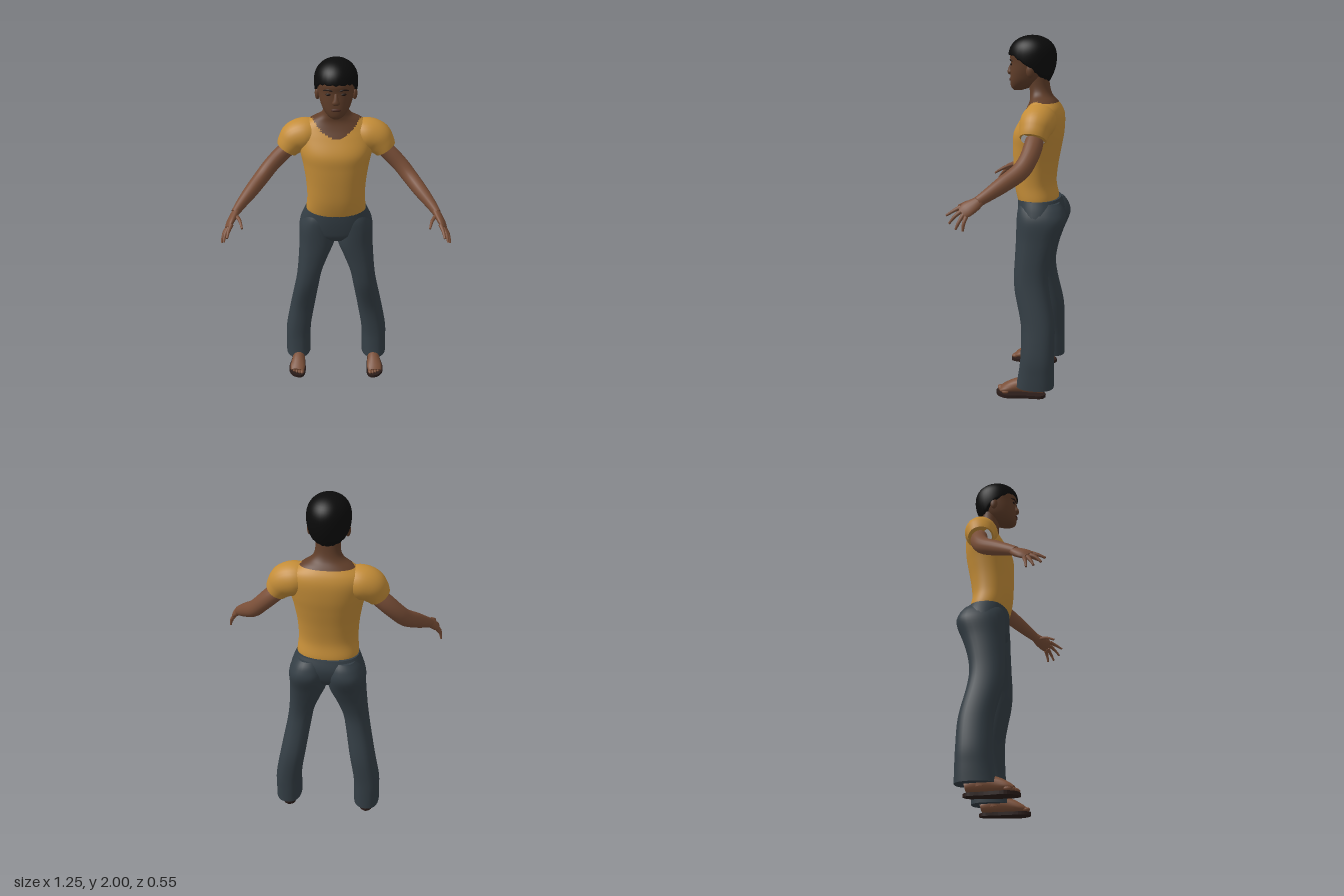
import * as THREE from 'three';
import { mergeGeometries } from 'three/addons/utils/BufferGeometryUtils.js';

const mat = (name, color) => new THREE.MeshStandardMaterial({ name, color });
const { lerp, smoothstep } = THREE.MathUtils;

// Catmull-Rom interpolation of rows of numbers
function sample(keys, steps) {
  const out = [], last = keys.length - 1;
  for (let i = 0; i <= last * steps; i++) {
    const k = Math.min(Math.floor(i / steps), last - 1), t = i / steps - k;
    const [a, b, c, d] = [k - 1, k, k + 1, k + 2].map(n => keys[Math.max(0, Math.min(last, n))]);
    out.push(b.map((_, n) => 0.5 * (2 * b[n] + (c[n] - a[n]) * t + (2 * a[n] - 5 * b[n] + 4 * c[n] - d[n]) * t * t
      + (3 * b[n] - a[n] - 3 * c[n] + d[n]) * t * t * t)));
  }
  return out;
}

// Skin a list of rings (counter-clockwise about the direction of travel) and cap both ends
function loft(rings) {
  const n = rings[0].length, pos = [], index = [], last = rings.length - 1;
  rings.forEach(r => r.forEach(p => pos.push(p.x, p.y, p.z)));
  for (let i = 0; i < last; i++) for (let j = 0; j < n; j++) {
    const k = (j + 1) % n, a = i * n + j, b = i * n + k;
    index.push(a, b, b + n, a, b + n, a + n);
  }
  [0, last].forEach(i => {
    const c = new THREE.Vector3();
    rings[i].forEach(p => c.addScaledVector(p, 1 / n));
    const base = pos.length / 3;
    rings[i].forEach(p => pos.push(p.x, p.y, p.z));
    pos.push(c.x, c.y, c.z);
    for (let j = 0; j < n; j++) {
      const a = base + j, b = base + (j + 1) % n;
      index.push(...(i ? [a, b, base + n] : [b, a, base + n]));
    }
  });
  const g = new THREE.BufferGeometry();
  g.setAttribute('position', new THREE.Float32BufferAttribute(pos, 3));
  g.setIndex(index);
  g.computeVertexNormals();
  return g;
}

const pw = (v, p) => Math.sign(v) * Math.abs(v) ** p;

// Level sections going up: [y, centre x, half width, front z, back z]
function body(keys, { n = 32, steps = 5, power = 0.88 } = {}) {
  return loft(sample(keys, steps).map(([y, cx, hw, zf, zb]) => Array.from({ length: n }, (_, j) => {
    const a = j / n * Math.PI * 2;
    return new THREE.Vector3(cx + hw * pw(Math.cos(a), power), y, (zf + zb) / 2 - (zf - zb) / 2 * pw(Math.sin(a), power));
  })));
}

// Sections across a path: [x, y, z, radius along side, radius across side]
function limb(keys, side, { n = 16, steps = 5 } = {}) {
  const rows = sample(keys, steps), at = i => new THREE.Vector3(...rows[Math.max(0, Math.min(rows.length - 1, i))].slice(0, 3));
  return loft(rows.map((r, i) => {
    const T = at(i + 1).sub(at(i - 1)).normalize(), W = new THREE.Vector3(...side);
    W.addScaledVector(T, -W.dot(T)).normalize();
    const N = T.clone().cross(W);
    return Array.from({ length: n }, (_, j) => {
      const a = j / n * Math.PI * 2;
      return at(i).addScaledVector(W, r[3] * Math.cos(a)).addScaledVector(N, r[4] * Math.sin(a));
    });
  }));
}

function ball(x, y, z, rx, ry, rz) {
  return new THREE.SphereGeometry(1, 16, 12).scale(rx, ry, rz).translate(x, y, z);
}

// Copy to the other side of x = 0, keeping faces outward
function mirrored(geo) {
  const g = geo.clone().scale(-1, 1, 1);
  if (!g.index) g.setIndex([...Array(g.attributes.position.count).keys()]);
  const ix = g.index.array;
  for (let i = 0; i < ix.length; i += 3) [ix[i], ix[i + 1]] = [ix[i + 1], ix[i]];
  g.computeVertexNormals();
  return g;
}

export function createModel() {
  const model = new THREE.Group();
  const faceSkin = mat('face skin', 0x5f3d29), skin = mat('limb skin', 0x7a4f38), shirt = mat('shirt ochre', 0xc48d38);
  const denim = mat('trouser slate', 0x343e45), hairMat = mat('hair black', 0x0b0b0b), sole = mat('sole brown', 0x2a1c19);
  const white = mat('sleeve lining white', 0xffffff), eyeMat = mat('eye dark', 0x20140f), lipMat = mat('lip brown', 0x4a2a20);
  const add = (name, geo, m) => {
    const mesh = new THREE.Mesh(geo, m);
    mesh.name = name;
    model.add(mesh);
  };
  const pair = (name, geo, m) => {
    add(name + 'Left', geo, m);
    add(name + 'Right', mirrored(geo), m);
  };

  // Torso and neck, split into shirt and skin along the neckline
  const torso = body([[1.07, 0, 0.165, -0.005, -0.215], [1.12, 0, 0.17, 0.012, -0.218], [1.2, 0, 0.163, 0.028, -0.203],
    [1.3, 0, 0.168, 0.034, -0.212], [1.4, 0, 0.183, 0.035, -0.23], [1.48, 0, 0.2, 0.03, -0.243], [1.56, 0, 0.208, -0.012, -0.245],
    [1.61, 0, 0.19, -0.04, -0.232], [1.65, 0, 0.135, -0.056, -0.205], [1.68, 0, 0.085, -0.056, -0.18],
    [1.72, 0, 0.066, -0.052, -0.165], [1.79, 0, 0.066, -0.045, -0.155]], { n: 72, steps: 6, power: 0.9 });
  const p = torso.attributes.position, cloth = [], bare = [], ix = torso.index.array;
  for (let i = 0; i < ix.length; i += 3) {
    const tri = [ix[i], ix[i + 1], ix[i + 2]];
    const [x, y, z] = ['getX', 'getY', 'getZ'].map(f => tri.reduce((s, v) => s + p[f](v) / 3, 0));
    const neckline = lerp(1.645, 1.57 + 5.5 * x * x, smoothstep(z, -0.15, -0.07));
    (y > Math.min(neckline, 1.66) ? bare : cloth).push(...tri);
  }
  torso.setIndex([...cloth, ...bare]);
  torso.addGroup(0, cloth.length, 0);
  torso.addGroup(cloth.length, bare.length, 1);
  add('torso', torso, [shirt, faceSkin]);

  // Sleeves with a pale lining at the opening
  pair('sleeve', limb([[0.1, 1.55, -0.13, 0.075, 0.075], [0.16, 1.556, -0.13, 0.095, 0.09], [0.215, 1.54, -0.126, 0.092, 0.09],
    [0.25, 1.505, -0.12, 0.08, 0.077], [0.272, 1.474, -0.116, 0.072, 0.062]], [0, 0, 1], { n: 28 }), shirt);
  const lining = new THREE.CircleGeometry(1, 24).scale(0.064, 0.055, 1);
  lining.rotateY(Math.PI / 2).rotateZ(-0.8).translate(0.275, 1.472, -0.116);
  pair('sleeveLining', lining, white);

  // Arms and hands
  pair('arm', limb([[0.22, 1.51, -0.125, 0.045, 0.04], [0.295, 1.445, -0.122, 0.05, 0.044], [0.36, 1.38, -0.105, 0.048, 0.043],
    [0.41, 1.325, -0.07, 0.047, 0.042], [0.47, 1.27, 0.005, 0.042, 0.038], [0.52, 1.225, 0.07, 0.033, 0.029],
    [0.55, 1.195, 0.115, 0.027, 0.022]], [0, 0.7, 0.7], { n: 20 }), skin);
  const across = [-0.45, 0.6, 0.6];
  const hand = [limb([[0.54, 1.205, 0.1, 0.025, 0.02], [0.558, 1.182, 0.13, 0.036, 0.02], [0.575, 1.16, 0.165, 0.042, 0.017],
    [0.586, 1.142, 0.188, 0.035, 0.011]], across)];
  [[[0.562, 1.168, 0.2], [0.574, 1.148, 0.237], [0.58, 1.125, 0.272]], [[0.576, 1.15, 0.195], [0.594, 1.125, 0.225], [0.602, 1.09, 0.252]],
    [[0.588, 1.135, 0.182], [0.61, 1.1, 0.2], [0.619, 1.065, 0.215]], [[0.593, 1.125, 0.167], [0.613, 1.095, 0.174], [0.62, 1.058, 0.178]],
    [[0.545, 1.19, 0.135], [0.518, 1.182, 0.18], [0.503, 1.16, 0.228]]].forEach(pts =>
    hand.push(limb(pts.map((q, i) => [...q, 0.012 - i * 0.003, 0.012 - i * 0.003]), across, { n: 8, steps: 3 })));
  pair('hand', mergeGeometries(hand), skin);

  // Trousers
  add('trouserWaist', body([[0.925, 0, 0.1, -0.03, -0.18], [0.96, 0, 0.18, -0.005, -0.22], [1.0, 0, 0.208, 0.003, -0.242],
    [1.06, 0, 0.196, 0.008, -0.25], [1.115, 0, 0.174, 0.008, -0.232]], { n: 40 }), denim);
  pair('trouserLeg', body([[0.065, 0.24, 0.076, -0.02, -0.235], [0.15, 0.239, 0.076, -0.035, -0.235], [0.25, 0.235, 0.076, -0.045, -0.234],
    [0.42, 0.206, 0.074, -0.042, -0.23], [0.6, 0.174, 0.071, -0.002, -0.195], [0.7, 0.157, 0.073, 0.006, -0.186],
    [0.8, 0.134, 0.087, 0.004, -0.203], [0.9, 0.111, 0.104, 0.002, -0.235], [1.0, 0.106, 0.107, 0, -0.273],
    [1.06, 0.1, 0.092, -0.005, -0.262], [1.1, 0.095, 0.07, -0.02, -0.235]], { n: 28, power: 0.85 }), denim);

  // Feet, toes and soles
  const foot = [limb([[0.235, 0.05, -0.18, 0.028, 0.028], [0.235, 0.066, -0.11, 0.036, 0.045], [0.237, 0.062, -0.03, 0.038, 0.04],
    [0.241, 0.045, 0.035, 0.046, 0.025], [0.243, 0.035, 0.065, 0.04, 0.014]], [1, 0, 0]),
    limb([[0.235, 0.05, -0.1, 0.038, 0.045], [0.235, 0.2, -0.12, 0.038, 0.045]], [1, 0, 0])];
  for (let i = 0; i < 5; i++)
    foot.push(ball(0.213 + i * 0.0165, 0.031, 0.073 - i * i * 0.0022, i ? 0.009 : 0.012, 0.011, 0.02).deleteAttribute('uv'));
  pair('foot', mergeGeometries(foot), skin);
  const print = new THREE.Shape(new THREE.SplineCurve([[0.24, 0.19], [0.205, 0.165], [0.2, 0.08], [0.192, -0.03], [0.205, -0.085],
    [0.235, -0.096], [0.275, -0.075], [0.296, -0.02], [0.28, 0.08], [0.272, 0.165], [0.24, 0.19]]
    .map(q => new THREE.Vector2(...q))).getPoints(40));
  pair('sole', new THREE.ExtrudeGeometry(print, { depth: 0.018, bevelEnabled: false }).rotateX(-Math.PI / 2), sole);

  // Head
  add('head', body([[1.706, 0, 0.022, 0.035, -0.01], [1.722, 0, 0.046, 0.05, -0.06], [1.755, 0, 0.072, 0.055, -0.12],
    [1.8, 0, 0.088, 0.053, -0.15], [1.85, 0, 0.097, 0.05, -0.175], [1.89, 0, 0.1, 0.055, -0.183], [1.93, 0, 0.095, 0.04, -0.175],
    [1.97, 0, 0.06, 0, -0.13]], { n: 40 }), faceSkin);
  add('nose', limb([[0, 1.85, 0.045, 0.009, 0.008], [0, 1.82, 0.055, 0.013, 0.012], [0, 1.803, 0.056, 0.021, 0.015],
    [0, 1.793, 0.05, 0.013, 0.008]], [1, 0, 0], { n: 14 }), faceSkin);
  pair('ear', ball(0.098, 1.812, -0.07, 0.014, 0.034, 0.022), faceSkin);
  pair('eye', ball(0.038, 1.845, 0.042, 0.016, 0.007, 0.007), eyeMat);
  pair('eyebrow', limb([[0.018, 1.864, 0.051, 0.004, 0.004], [0.04, 1.87, 0.046, 0.005, 0.005], [0.064, 1.862, 0.032, 0.003, 0.003]],
    [0, 1, 0], { n: 8 }), eyeMat);
  add('mouth', ball(0, 1.763, 0.052, 0.026, 0.009, 0.009), lipMat);

  // Hair: a dome whose lower edge falls from the fringe to the nape
  const edge = c => {
    const e = [[-1, 1.758], [-0.5, 1.785], [0, 1.832], [0.45, 1.87], [0.7, 1.893], [1.01, 1.898]];
    const k = Math.max(1, e.findIndex(q => c < q[0]));
    return lerp(e[k - 1][1], e[k][1], (c - e[k - 1][0]) / (e[k][0] - e[k - 1][0]));
  };
  const rings = [];
  for (let i = 0; i <= 21; i++) rings.push(Array.from({ length: 48 }, (_, j) => {
    const a = j / 48 * Math.PI * 2, c = -Math.sin(a), v = Math.min(1, (21 - i) / 20);
    const y = lerp(2, edge(c) + 0.004 * Math.sin(j * 2.4), 1 - Math.cos(v * Math.PI / 2));
    const h = (y - 1.88) / 0.12;
    let r = h > 0 ? Math.sqrt(Math.max(0, 1 - h ** 2.4)) : 1 - 0.27 * h * h;
    if (i === 0) r *= 0.8;
    return new THREE.Vector3(0.115 * r * Math.cos(a), y, -0.067 + 0.132 * r * c);
  }));
  add('hair', loft(rings), hairMat);
  return model;
}
